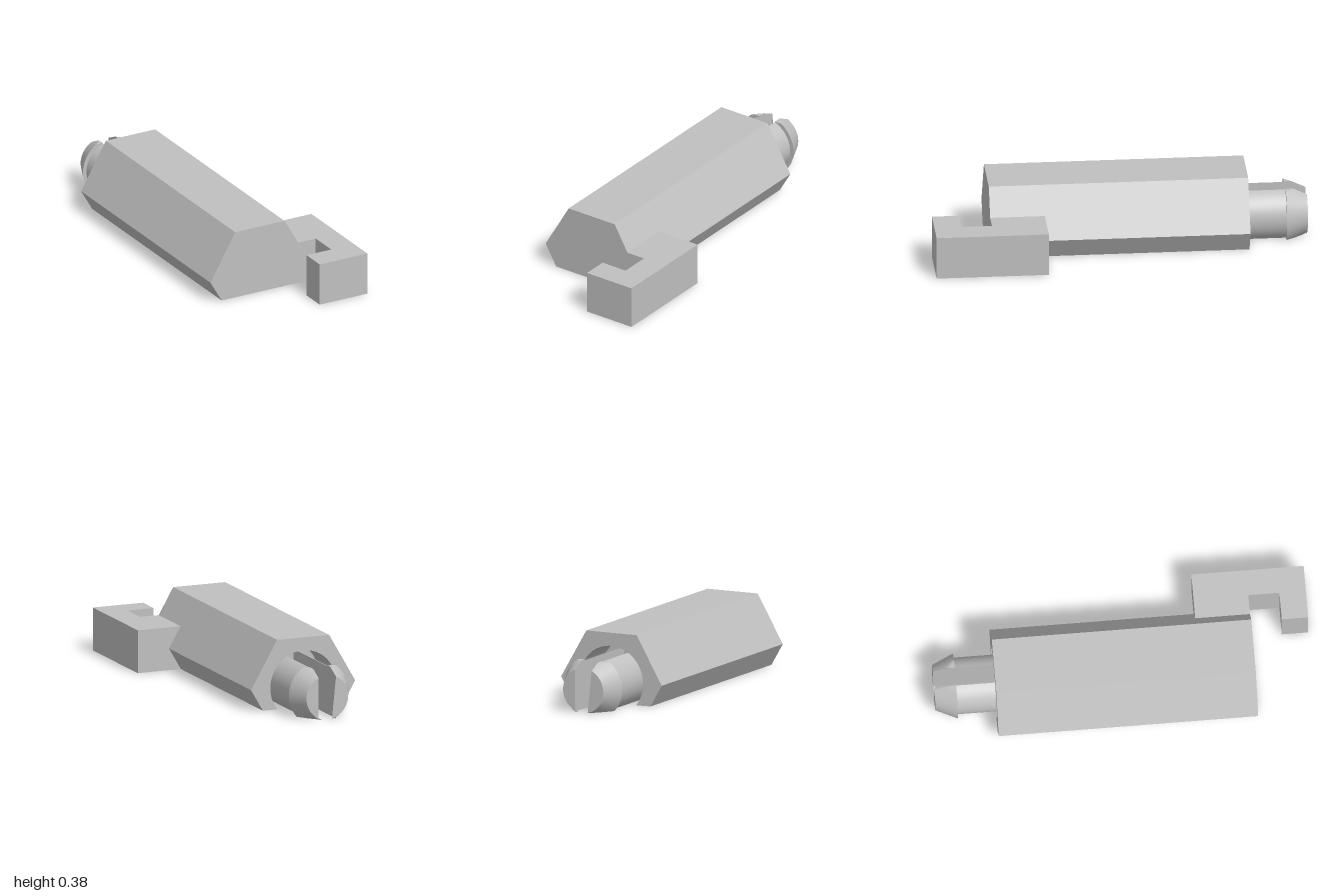
import * as THREE from 'three';
import { toCreasedNormals } from 'three/addons/utils/BufferGeometryUtils.js';

const AXIS_X = -0.09, AXIS_Y = 0.117; // shared axis of the hexagon, bore and prongs
const BACK = -0.68, FRONT = 0.695, BORE_END = -0.44;
const CREASE = 0.45;

// Points on a circle around the shared axis
function arc(r, from, to, n) {
  return Array.from({ length: n + 1 }, (_, i) => {
    const a = from + (to - from) * i / n;
    return new THREE.Vector2(AXIS_X + r * Math.cos(a), AXIS_Y + r * Math.sin(a));
  });
}

// Extrude an outline along z
function prism(points, z0, z1) {
  const geo = new THREE.ExtrudeGeometry(new THREE.Shape(points), { depth: z1 - z0, bevelEnabled: false });
  geo.translate(0, 0, z0);
  return toCreasedNormals(geo, CREASE);
}

// Half of a slotted round bar, cut flat at the base; side is +1 or -1
function prongSection(r, side, top = 1) {
  const pts = arc(r, -Math.asin(Math.min(1, AXIS_Y / r)), Math.acos(0.05 / r), 24);
  pts.unshift(new THREE.Vector2(AXIS_X + 0.05, 0));
  for (const p of pts) {
    p.y = Math.min(p.y, top);
    p.x = AXIS_X + side * (p.x - AXIS_X);
  }
  return side > 0 ? pts : pts.reverse();
}

// Closed surface through convex sections, from the front to the back
function loft(sections) {
  const pos = [];
  const tri = (...vs) => vs.forEach(v => pos.push(v.x, v.y, v.z));
  const n = sections[0].length;
  for (let k = 0; k + 1 < sections.length; k++) {
    const f = sections[k], b = sections[k + 1];
    for (let i = 0; i < n; i++) {
      const j = (i + 1) % n;
      tri(f[i], b[i], f[j]);
      tri(b[i], b[j], f[j]);
    }
  }
  const first = sections[0], last = sections[sections.length - 1];
  for (let i = 1; i + 1 < n; i++) {
    tri(first[0], first[i], first[i + 1]);
    tri(last[0], last[i + 1], last[i]);
  }
  const geo = new THREE.BufferGeometry();
  geo.setAttribute('position', new THREE.Float32BufferAttribute(pos, 3));
  return toCreasedNormals(geo, CREASE);
}

export function createModel() {
  const group = new THREE.Group();
  const grey = new THREE.MeshStandardMaterial({ color: 0xc0c0c0 });
  grey.name = 'plain grey';
  const add = (name, geo) => {
    const mesh = new THREE.Mesh(geo, grey);
    mesh.name = name;
    group.add(mesh);
  };
  const V = (x, y) => new THREE.Vector2(x, y);

  // Hexagonal body with its lower part cut flat
  const hex = [V(0.142, 0), V(0.21, AXIS_Y), V(0.06, 0.376), V(-0.24, 0.376), V(-0.39, AXIS_Y), V(-0.322, 0)];
  add('body', prism(hex, BORE_END, FRONT));

  // Hollow back end, its bore open underneath
  const bore = 0.189, low = Math.asin(AXIS_Y / bore);
  add('hollowEnd', prism([...hex, ...arc(bore, Math.PI + low, -low, 48)], BACK, BORE_END));

  // Pair of snap prongs with tapered barbs
  for (const side of [1, -1]) {
    const name = side > 0 ? 'left' : 'right';
    add(name + 'ProngStem', prism(prongSection(0.15, side), -0.89, BORE_END));
    const rings = [];
    for (let i = 0; i <= 8; i++) {
      const t = i / 8, z = -0.885 - 0.115 * t;
      rings.push(prongSection(0.172 - 0.052 * t, side, 0.262).map(p => new THREE.Vector3(p.x, p.y, z)));
    }
    add(name + 'ProngBarb', loft(rings));
  }

  // Hook at the front, drawn in plan and raised
  const plan = [[0.1, 0.405], [0.39, 0.405], [0.39, 1], [0.1, 1], [0.1, 0.86], [0.25, 0.86], [0.25, FRONT], [0.1, FRONT]];
  const hook = new THREE.ExtrudeGeometry(
    new THREE.Shape(plan.map(([x, z]) => V(x, -z))), { depth: 0.232, bevelEnabled: false });
  hook.rotateX(-Math.PI / 2);
  add('hook', hook);

  return group;
}
